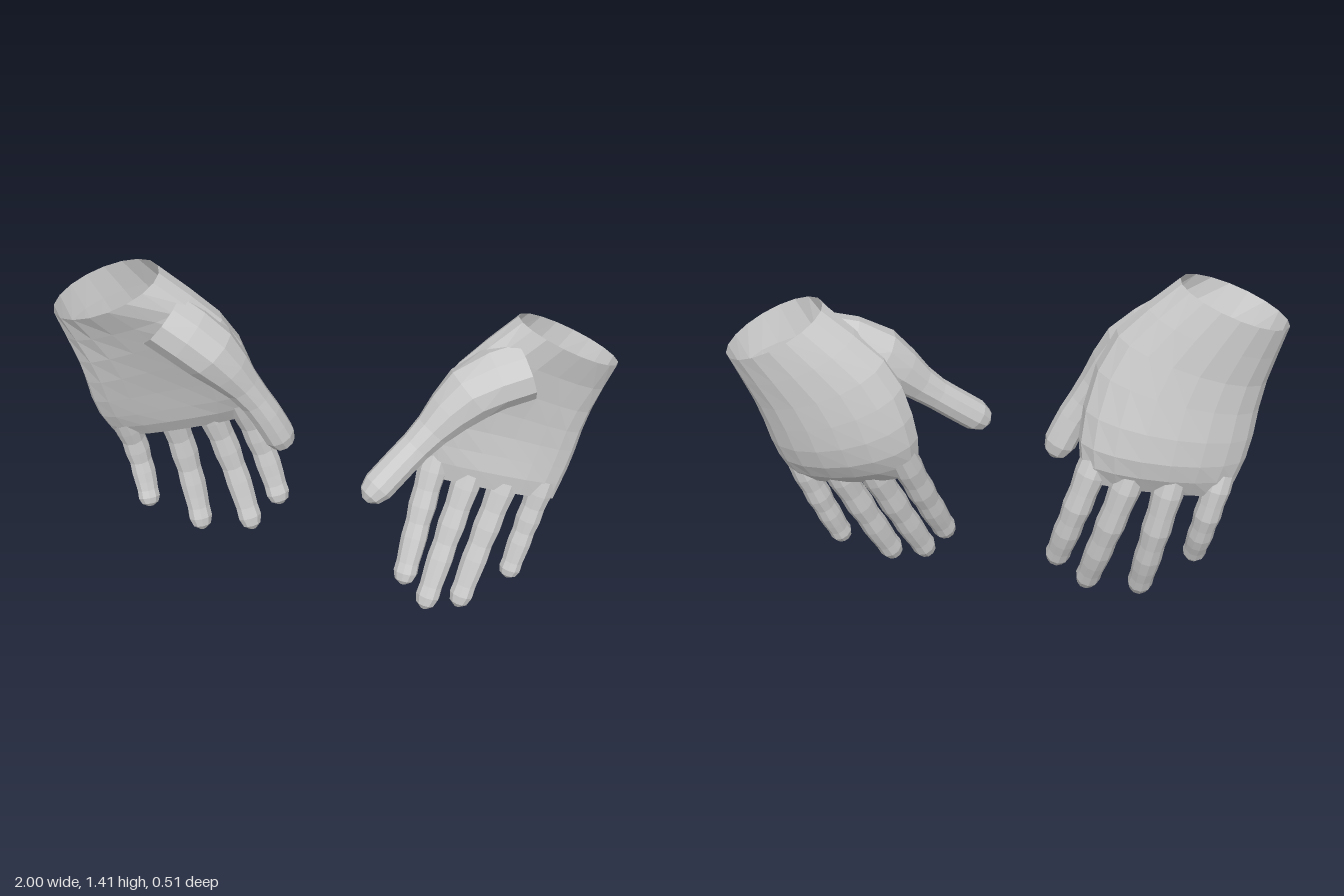
import * as THREE from 'three';

const V = (x, y, z) => new THREE.Vector3(x, y, z);
const skin = new THREE.MeshStandardMaterial({ color: 0xcccccc, flatShading: true, side: THREE.DoubleSide });

// Skin a list of equal-length rings; the last ring is closed with a fan.
function loft(rings, name) {
  const n = rings[0].length, index = [], points = rings.flat();
  for (let r = 0; r < rings.length - 1; r++) {
    for (let i = 0; i < n; i++) {
      const a = r * n + i, b = r * n + (i + 1) % n;
      index.push(a, b, a + n, b, b + n, a + n);
    }
  }
  const last = (rings.length - 1) * n, tip = V(0, 0, 0);
  rings.at(-1).forEach((p) => tip.addScaledVector(p, 1 / n));
  points.push(tip);
  for (let i = 0; i < n; i++) index.push(last + i, last + (i + 1) % n, last + n);
  const geometry = new THREE.BufferGeometry().setFromPoints(points);
  geometry.setIndex(index);
  geometry.computeVertexNormals();
  const mesh = new THREE.Mesh(geometry, skin);
  mesh.name = name;
  return mesh;
}

// Tube along a curve with rings crowding towards a rounded tip.
function digit(curve, radiusAt, name) {
  const rings = Array.from({ length: 11 }, (_, k) => {
    const t = 1 - (1 - k / 10) ** 1.5;
    const c = curve.getPointAt(t), along = curve.getTangentAt(t);
    const side = V(0, 0, 1).cross(along).normalize();
    const depth = along.clone().cross(side);
    const r = radiusAt(t) * Math.sqrt(1 - 0.93 * (Math.max(0, t - 0.9) / 0.1) ** 2);
    return Array.from({ length: 10 }, (_, i) => {
      const a = (i / 10) * Math.PI * 2;
      return c.clone().addScaledVector(side, r * Math.cos(a)).addScaledVector(depth, r * Math.sin(a) * 1.05);
    });
  });
  return loft(rings, name);
}

// Fingers taper, with a slight swelling at both joints.
const fingerRadius = (t) => (0.058 - 0.012 * t) * (1 + 0.05 * Math.cos((t - 0.4) * Math.PI * 2 / 0.28));
// The thumb starts as the broad ball of the hand.
const thumbRadius = (t) => 0.06 + 0.052 * (1 - THREE.MathUtils.smoothstep(t, 0.2, 0.65));

// Palm between two edge curves: open at the wrist, hollow in front, closing at the knuckles.
function palm(lowEdge, highEdge, normal) {
  const rings = Array.from({ length: 8 }, (_, k) => {
    const t = k / 7, mid = Math.sin(Math.PI * t);
    const closing = Math.sqrt(1 - 0.75 * t ** 6);
    const front = (0.15 - 0.09 * t) * closing;
    const back = (0.15 - 0.04 * t ** 3 + 0.02 * mid) * closing;
    const p = lowEdge.getPoint(t), q = highEdge.getPoint(t);
    return Array.from({ length: 18 }, (_, i) => {
      const a = (i / 18) * Math.PI * 2, s = Math.sin(a);
      const bulge = s > 0 ? front * s * (1 - 0.55 * mid * s * s) : back * s;
      return p.clone().lerp(q, 0.5 + 0.5 * Math.cos(a)).addScaledVector(normal, bulge);
    });
  });
  return loft(rings, 'palm');
}

// Fingers are [base, tip] pairs from index to little; bow pushes their middle along z.
function hand(name, { low, high, normal, fingers, bow, thumb }) {
  const group = new THREE.Group();
  group.name = name;
  group.add(palm(new THREE.CatmullRomCurve3(low), new THREE.CatmullRomCurve3(high), normal.normalize()));
  fingers.forEach(([base, tip], i) => {
    const bend = base.clone().lerp(tip, 0.5).add(V(0, 0, 2 * bow));
    const scale = i === 3 ? 0.9 : 0.98;
    const label = ['index', 'middle', 'ring', 'little'][i] + 'Finger';
    group.add(digit(new THREE.QuadraticBezierCurve3(base, bend, tip), (t) => scale * fingerRadius(t), label));
  });
  group.add(digit(new THREE.CatmullRomCurve3(thumb), thumbRadius, 'thumb'));
  return group;
}

export function createModel() {
  const model = new THREE.Group();
  model.name = 'pairOfHands';
  model.add(hand('rightSideHand', {
    low: [V(-1, 1.27, 0.02), V(-0.935, 1.02, 0.01), V(-0.905, 0.79, -0.03), V(-0.85, 0.635, -0.08)],
    high: [V(-0.62, 1.41, 0.02), V(-0.39, 1.17, -0.02), V(-0.315, 0.86, -0.13), V(-0.34, 0.685, -0.175)],
    normal: V(0, -0.1, 1),
    fingers: [
      [V(-0.39, 0.78, -0.15), V(-0.24, 0.28, -0.13)],
      [V(-0.52, 0.75, -0.16), V(-0.35, 0.17, -0.1)],
      [V(-0.66, 0.74, -0.14), V(-0.55, 0.17, -0.09)],
      [V(-0.82, 0.72, -0.08), V(-0.74, 0.32, -0.04)],
    ],
    bow: -0.045,
    thumb: [V(-0.62, 1.24, 0.03), V(-0.47, 1.12, 0.04), V(-0.3, 0.88, 0.02), V(-0.2, 0.66, -0.01)],
  }));
  model.add(hand('leftSideHand', {
    low: [V(0.63, 1.2, -0.1), V(0.39, 0.97, -0.06), V(0.305, 0.72, -0.055), V(0.31, 0.53, -0.035)],
    high: [V(1, 1.02, -0.1), V(0.91, 0.79, -0.07), V(0.865, 0.6, -0.05), V(0.81, 0.44, -0.02)],
    normal: V(0, 0.25, 1),
    fingers: [
      [V(0.365, 0.62, -0.07), V(0.25, 0.13, 0.15)],
      [V(0.5, 0.56, -0.06), V(0.335, 0.015, 0.16)],
      [V(0.64, 0.54, -0.06), V(0.465, 0.005, 0.13)],
      [V(0.775, 0.52, -0.05), V(0.655, 0.105, 0.06)],
    ],
    bow: -0.01,
    thumb: [V(0.66, 1.03, -0.02), V(0.5, 0.985, 0.03), V(0.3, 0.8, 0.12), V(0.105, 0.615, 0.24)],
  }));
  return model;
}
